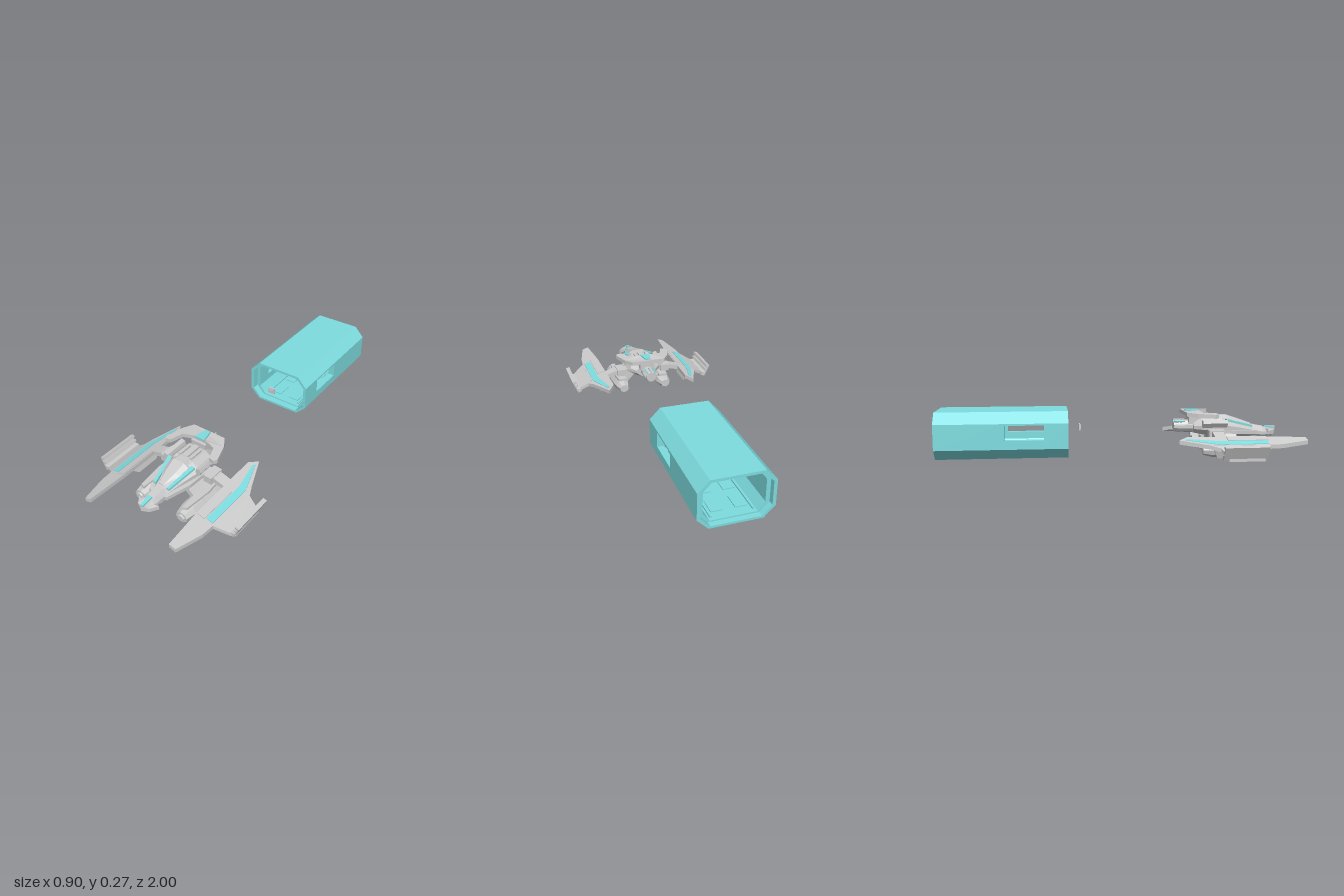
import * as THREE from 'three';

const grey = new THREE.MeshStandardMaterial({ color: 0xcccccc, flatShading: true });
const teal = new THREE.MeshStandardMaterial({ color: 0x7ddcdf, flatShading: true });
const shapeOf = pts => new THREE.Shape(pts.map(p => new THREE.Vector2(p[0], p[1])));

// profile in x,y pushed along z
function slab(pts, z0, z1) {
  const g = new THREE.ExtrudeGeometry(shapeOf(pts), { depth: z1 - z0, bevelEnabled: false });
  return g.translate(0, 0, z0);
}

// outline in x,z with a thickness, its height following f(x)
function plate(pts, f, t) {
  const g = new THREE.ExtrudeGeometry(shapeOf(pts.map(p => [p[0], -p[1]])), { depth: t, bevelEnabled: false });
  g.rotateX(-Math.PI / 2);
  const p = g.attributes.position;
  for (let i = 0; i < p.count; i++) p.setY(i, p.getY(i) - t / 2 + f(p.getX(i), p.getZ(i)));
  g.computeVertexNormals();
  return g;
}

// skin over equal rings of [x, y, z], ordered from back to front
function loft(rings) {
  const n = rings[0].length, idx = [];
  for (let r = 0; r < rings.length - 1; r++) for (let i = 0; i < n; i++) {
    const a = r * n + i, b = r * n + (i + 1) % n;
    idx.push(a, b, b + n, a, b + n, a + n);
  }
  const last = (rings.length - 1) * n;
  for (let i = 1; i < n - 1; i++) idx.push(0, i + 1, i, last, last + i, last + i + 1);
  const g = new THREE.BufferGeometry();
  g.setAttribute('position', new THREE.Float32BufferAttribute(rings.flat(2), 3));
  g.setIndex(idx);
  g.computeVertexNormals();
  return g;
}

// bevelled hull ring: half width, bottom, top
const hullRing = (z, w, b, t) => {
  const h = t - b;
  return [[w * 0.5, b], [w, b + h * 0.35], [w, b + h * 0.6], [w * 0.55, t],
    [-w * 0.55, t], [-w, b + h * 0.6], [-w, b + h * 0.35], [-w * 0.5, b]].map(([x, y]) => [x, y, z]);
};

const box = (w, h, d, x, y, z) => new THREE.BoxGeometry(w, h, d).translate(x, y, z);

function mirrored(geo) {
  const g = geo.index ? geo.toNonIndexed() : geo.clone();
  g.scale(-1, 1, 1);
  const p = g.attributes.position, a = new THREE.Vector3(), b = new THREE.Vector3();
  for (let i = 0; i < p.count; i += 3) {
    a.fromBufferAttribute(p, i + 1);
    b.fromBufferAttribute(p, i + 2);
    p.setXYZ(i + 1, b.x, b.y, b.z);
    p.setXYZ(i + 2, a.x, a.y, a.z);
  }
  g.computeVertexNormals();
  return g;
}

function add(group, name, geo, mat = grey) {
  const m = new THREE.Mesh(geo, mat);
  m.name = name;
  group.add(m);
}

function pair(group, name, geo, mat = grey) {
  add(group, name + 'Left', geo, mat);
  add(group, name + 'Right', mirrored(geo), mat);
}

// octagonal tunnel outline: half width, bottom, top, corner half width, side bottom, side top
const octagon = (w, b, t, c, s0, s1) =>
  [[c, b], [w, s0], [w, s1], [c, t], [-c, t], [-w, s1], [-w, s0], [-c, b]];

function createHangar() {
  const g = new THREE.Group();
  g.name = 'hangar';
  const tunnel = (name, outer, inner, z0, z1) => outer.forEach((o, i) => {
    const j = (i + 1) % 8;
    const wall = (u, v, a, b) => {
      const at = (p, q, k) => [p[0] + (q[0] - p[0]) * k, p[1] + (q[1] - p[1]) * k];
      const o0 = at(o, outer[j], u), o1 = at(o, outer[j], v);
      const i0 = [inner[i][0], o0[1]], i1 = [inner[i][0], o1[1]];
      add(g, name, slab(u === 0 && v === 1 ? [o, outer[j], inner[j], inner[i]]
        : [o0, o1, v === 1 ? inner[j] : i1, u === 0 ? inner[i] : i0], a, b), teal);
    };
    if (i !== 1 && i !== 5) return wall(0, 1, z0, z1);
    // side walls leave a window
    const k = y => (y - o[1]) / (outer[j][1] - o[1]);
    const ks = [k(0.122), k(0.203)].sort((a, b) => a - b);
    wall(0, 1, z0, -0.63);
    wall(0, 1, -0.42, z1);
    wall(0, ks[0], -0.63, -0.42);
    wall(ks[1], 1, -0.63, -0.42);
  });
  const skin = octagon(0.19, 0.018, 0.272, 0.133, 0.075, 0.213);
  const mid = octagon(0.173, 0.03, 0.258, 0.125, 0.08, 0.207);
  const inner = octagon(0.152, 0.037, 0.247, 0.118, 0.083, 0.204);
  tunnel('hangarShell', skin, mid, -1, -0.29);
  tunnel('hangarLining', mid, inner, -0.97, -0.33);
  // deck plates, rails and roof beams
  for (let i = 0; i < 4; i++) {
    const z = -0.42 - i * 0.15;
    pair(g, 'deckPlate', box(0.06, 0.006, 0.09, 0.06, 0.039, z), teal);
    add(g, 'roofBeam', box(0.2, 0.01, 0.03, 0, 0.244, z), teal);
  }
  pair(g, 'deckRail', box(0.008, 0.01, 0.6, 0.105, 0.04, -0.65), teal);
  return g;
}

function createShip() {
  const g = new THREE.Group();
  g.name = 'ship';
  // central hull, tapering to the nose
  add(g, 'hull', loft([hullRing(0.42, 0.06, 0.13, 0.195), hullRing(0.47, 0.1, 0.12, 0.212),
    hullRing(0.58, 0.1, 0.115, 0.218), hullRing(0.66, 0.075, 0.105, 0.203),
    hullRing(0.77, 0.042, 0.095, 0.17), hullRing(0.83, 0.035, 0.085, 0.158),
    hullRing(0.89, 0.02, 0.1, 0.14)]));
  add(g, 'canopy', loft([hullRing(0.57, 0.04, 0.19, 0.226), hullRing(0.62, 0.06, 0.18, 0.226),
    hullRing(0.68, 0.05, 0.165, 0.206), hullRing(0.76, 0.025, 0.145, 0.178)]));
  add(g, 'chin', loft([hullRing(0.66, 0.03, 0.085, 0.13), hullRing(0.8, 0.03, 0.08, 0.13), hullRing(0.85, 0.018, 0.1, 0.125)]));
  // crescent nose
  const noseY = (x, z) => 0.143 - Math.abs(x) * 0.25 - (z - 0.85) * 0.2;
  add(g, 'noseCrescent', plate([[0, 0.912], [-0.035, 0.893], [-0.063, 0.852], [-0.04, 0.862],
    [-0.02, 0.85], [0, 0.82], [0.02, 0.85], [0.04, 0.862], [0.063, 0.852], [0.035, 0.893]], noseY, 0.022));
  add(g, 'noseStripe', plate([[-0.012, 0.84], [-0.008, 0.905], [0.008, 0.905], [0.012, 0.84]],
    (x, z) => 0.157 - (z - 0.85) * 0.2, 0.008), teal);
  // spine ridges and shoulder blocks
  add(g, 'spine', box(0.03, 0.012, 0.1, 0, 0.222, 0.525));
  pair(g, 'spineRib', box(0.012, 0.012, 0.08, 0.035, 0.22, 0.53));
  pair(g, 'shoulder', slab([[0.085, 0.172], [0.105, 0.165], [0.122, 0.19], [0.115, 0.21], [0.092, 0.205]], 0.46, 0.6));
  pair(g, 'hullStripe', plate([[0.062, 0.6], [0.086, 0.6], [0.05, 0.76], [0.035, 0.76]],
    (x, z) => 0.204 - (z - 0.6) * 0.25, 0.012), teal);
  pair(g, 'cheek', plate([[0.06, 0.56], [0.11, 0.56], [0.1, 0.66], [0.055, 0.79], [0.03, 0.79]],
    (x, z) => 0.143 - (z - 0.56) * 0.06, 0.02));

  // horseshoe over the stern
  add(g, 'sternArch', plate([[-0.1, 0.37], [-0.135, 0.425], [-0.165, 0.52], [-0.155, 0.54], [-0.125, 0.535],
    [-0.1, 0.465], [-0.04, 0.45], [0.04, 0.45], [0.1, 0.465], [0.125, 0.535], [0.155, 0.54], [0.165, 0.52],
    [0.135, 0.425], [0.1, 0.37]], x => 0.246 - 0.1 * Math.max(0, Math.abs(x) - 0.04), 0.022));
  add(g, 'archStripe', plate([[-0.015, 0.38], [-0.03, 0.452], [0.03, 0.452], [0.015, 0.38]], () => 0.256, 0.008), teal);
  add(g, 'archPylon', box(0.09, 0.06, 0.07, 0, 0.21, 0.43));
  // stern engine
  const drum = (r0, r1, len, z) => new THREE.CylinderGeometry(r1, r0, len, 10).rotateX(Math.PI / 2).translate(0, 0.165, z);
  add(g, 'sternEngine', drum(0.034, 0.038, 0.08, 0.385));
  add(g, 'sternNozzle', drum(0.03, 0.036, 0.035, 0.33));
  for (let i = 0; i < 5; i++) {
    const fin = box(0.008, 0.008, 0.06, 0, 0.036, 0).rotateZ((i - 2) * 0.7).translate(0, 0.165, 0.345);
    add(g, 'engineFin', fin, i % 2 ? teal : grey);
  }

  // wing arm, inner wing and drooping outer wing
  const innerY = x => 0.135 - (x - 0.19) * 0.32;
  const outerY = x => 0.09 - (x - 0.33) * 0.56;
  pair(g, 'wingArm', slab([[0.09, 0.125], [0.175, 0.122], [0.245, 0.104], [0.245, 0.128], [0.175, 0.15], [0.09, 0.153]], 0.5, 0.56));
  pair(g, 'armCollar', slab([[0.115, 0.118], [0.165, 0.117], [0.165, 0.156], [0.115, 0.158]], 0.485, 0.575));
  pair(g, 'innerWing', plate([[0.265, 0.297], [0.228, 0.345], [0.233, 0.77], [0.25, 1], [0.287, 1],
    [0.325, 0.85], [0.33, 0.78], [0.33, 0.46]], innerY, 0.022));
  pair(g, 'outerWing', plate([[0.328, 0.455], [0.35, 0.505], [0.42, 0.53], [0.42, 0.72], [0.4, 0.74], [0.328, 0.78]], outerY, 0.02));
  pair(g, 'wingStripe', plate([[0.255, 0.345], [0.285, 0.5], [0.285, 0.77], [0.322, 0.77], [0.322, 0.5], [0.265, 0.33]],
    x => innerY(x) + 0.011, 0.006), teal);
  pair(g, 'wingRidge', plate([[0.235, 0.56], [0.28, 0.56], [0.28, 0.78], [0.24, 0.78]], x => innerY(x) + 0.011, 0.008));
  // toothed winglet and under fin
  pair(g, 'winglet', slab([[0.415, 0.035], [0.45, 0.107], [0.428, 0.114], [0.424, 0.1], [0.437, 0.094], [0.432, 0.084],
    [0.42, 0.088], [0.416, 0.078], [0.428, 0.072], [0.424, 0.062], [0.4, 0.062], [0.395, 0.045]], 0.5, 0.735));
  pair(g, 'underFin', loft([[0.5, 0.023], [0.64, 0.023]].map(([z, y], i) =>
    [[0.272, y], [0.286, y + 0.002], [0.306, 0.095], [0.29, 0.095]].map(([x, h]) =>
      [x, h, z + (h > 0.05 ? (i ? 0.08 : -0.03) : 0)]))));

  // octagonal pods on slanted struts
  const podRing = (z, r) => Array.from({ length: 8 }, (_, i) => {
    const a = i * Math.PI / 4 + 0.15;
    return [0.134 + Math.cos(a) * r * 1.1, 0.043 + Math.sin(a) * r * 0.95, z];
  });
  pair(g, 'pod', loft([podRing(0.455, 0.025), podRing(0.5, 0.038), podRing(0.55, 0.043), podRing(0.72, 0.043), podRing(0.78, 0.032)]));
  pair(g, 'podNose', loft([podRing(0.775, 0.022), podRing(0.79, 0.018)]));
  pair(g, 'podBand', loft([podRing(0.6, 0.046), podRing(0.64, 0.046)]));
  pair(g, 'podStrut', slab([[0.045, 0.115], [0.11, 0.048], [0.13, 0.066], [0.075, 0.13]], 0.52, 0.66));
  pair(g, 'podFairing', plate([[0.105, 0.5], [0.158, 0.5], [0.165, 0.6], [0.15, 0.75], [0.125, 0.76], [0.115, 0.62]],
    () => 0.083, 0.014));
  return g;
}

export function createModel() {
  const model = new THREE.Group();
  model.name = 'shipAndHangar';
  model.add(createHangar(), createShip());
  // small floating marker before the hangar
  add(model, 'marker', box(0.04, 0.036, 0.008, 0, 0.167, -0.222));
  add(model, 'markerFace', box(0.024, 0.02, 0.006, 0, 0.167, -0.217));
  return model;
}
